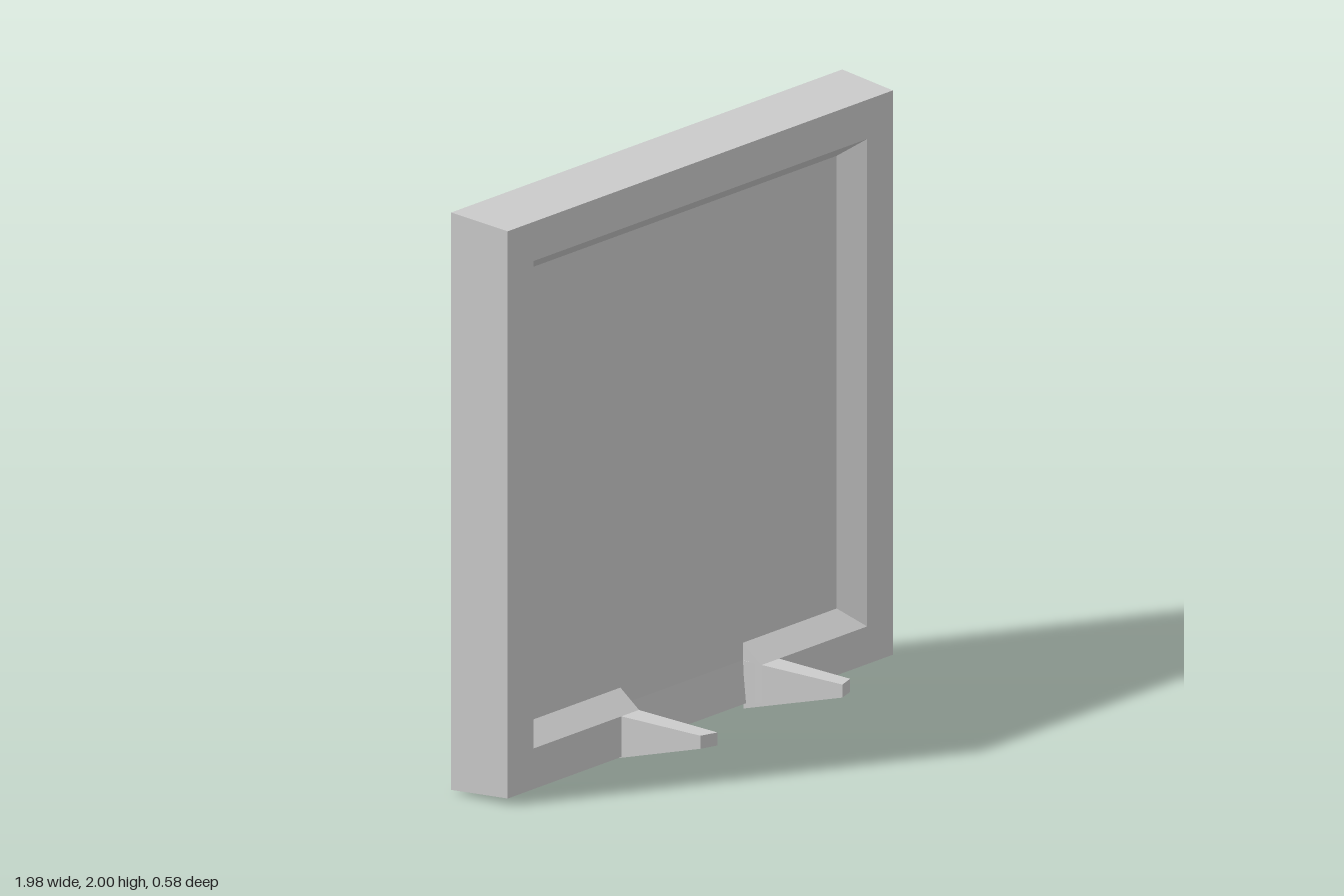
import * as THREE from 'three';

const material = new THREE.MeshStandardMaterial({ color: 0xcccccc, flatShading: true });

// Flat-shaded mesh from convex polygons (corners counter-clockwise from outside)
function polygonMesh(name, polygons) {
  const pos = [];
  for (const p of polygons) {
    for (let i = 1; i < p.length - 1; i++) pos.push(...p[0], ...p[i], ...p[i + 1]);
  }
  const geo = new THREE.BufferGeometry();
  geo.setAttribute('position', new THREE.Float32BufferAttribute(pos, 3));
  geo.computeVertexNormals();
  const mesh = new THREE.Mesh(geo, material);
  mesh.name = name;
  return mesh;
}

const BACK = -0.29, FRONT = -0.06, DEEP = -0.14, GAP = 0.31;

// Frame profile: outer back, outer front, inner front, inner deep edge
function corner(s, top) {
  const low = s > 0 ? 0.035 : 0.025;
  return [
    [s * 0.99, top ? 2 : 0.01, BACK],
    [s * 0.975, top ? 1.98 : low, FRONT],
    [s * 0.845, top ? 1.845 : 0.165, FRONT],
    [s * 0.785, top ? 1.785 : 0.225, DEEP],
  ];
}

// The same profile where the lower rail stops at the gap
function railEnd(s) {
  const x = s * GAP;
  return [[x, 0.01, BACK], [x, s > 0 ? 0.035 : 0.025, FRONT], [x, 0.165, FRONT], [x, 0.225, DEEP]];
}

function createFrame() {
  const stations = [railEnd(1), corner(1, false), corner(1, true),
    corner(-1, true), corner(-1, false), railEnd(-1)];
  const faces = [];
  for (let i = 0; i < stations.length - 1; i++) {
    const a = stations[i], b = stations[i + 1];
    for (let k = 0; k < 3; k++) faces.push([a[k], b[k], b[k + 1], a[k + 1]]);
  }
  // End faces of the lower rail
  for (const s of [1, -1]) {
    const [, outer, inner, deep] = railEnd(s);
    const cap = [inner, deep, [s * GAP, 0.165, DEEP], [s * GAP, 0.02, -0.125], outer];
    faces.push(s > 0 ? cap : cap.reverse());
  }
  return polygonMesh('frame', faces);
}

function createPanel() {
  const row = (y, z) => [[-GAP, y, z], [GAP, y, z]];
  const rows = [row(0.01, BACK), row(0.02, -0.125), row(0.165, DEEP), row(0.225, DEEP)];
  const faces = [
    [corner(1, false)[3], corner(1, true)[3], corner(-1, true)[3], corner(-1, false)[3]],
    [corner(-1, false)[0], corner(-1, true)[0], corner(1, true)[0], corner(1, false)[0]],
  ];
  // Underside of the gap and the panel showing through it
  for (let i = 0; i < 3; i++) {
    faces.push([rows[i][0], rows[i][1], rows[i + 1][1], rows[i + 1][0]]);
  }
  return polygonMesh('panel', faces);
}

// Tapered foot with a slanted tip and a rising underside
function createFoot(s, innerZ, outerZ) {
  const geo = new THREE.BoxGeometry(1, 1, 1);
  const p = geo.attributes.position;
  for (let i = 0; i < p.count; i++) {
    const right = p.getX(i) > 0, up = p.getY(i) > 0, tip = p.getZ(i) > 0;
    const outer = right === (s > 0);
    const x = s * (tip ? (outer ? 0.388 : 0.325) : (outer ? 0.402 : 0.308));
    const y = up ? 0.165 : tip ? 0.12 : 0;
    p.setXYZ(i, x, y, tip ? (outer ? outerZ : innerZ) : -0.135);
  }
  geo.computeVertexNormals();
  const mesh = new THREE.Mesh(geo, material);
  mesh.name = s > 0 ? 'leftFoot' : 'rightFoot';
  return mesh;
}

export function createModel() {
  const group = new THREE.Group();
  group.name = 'framedPanel';
  group.add(createFrame(), createPanel(), createFoot(1, 0.275, 0.255), createFoot(-1, 0.29, 0.27));
  return group;
}
